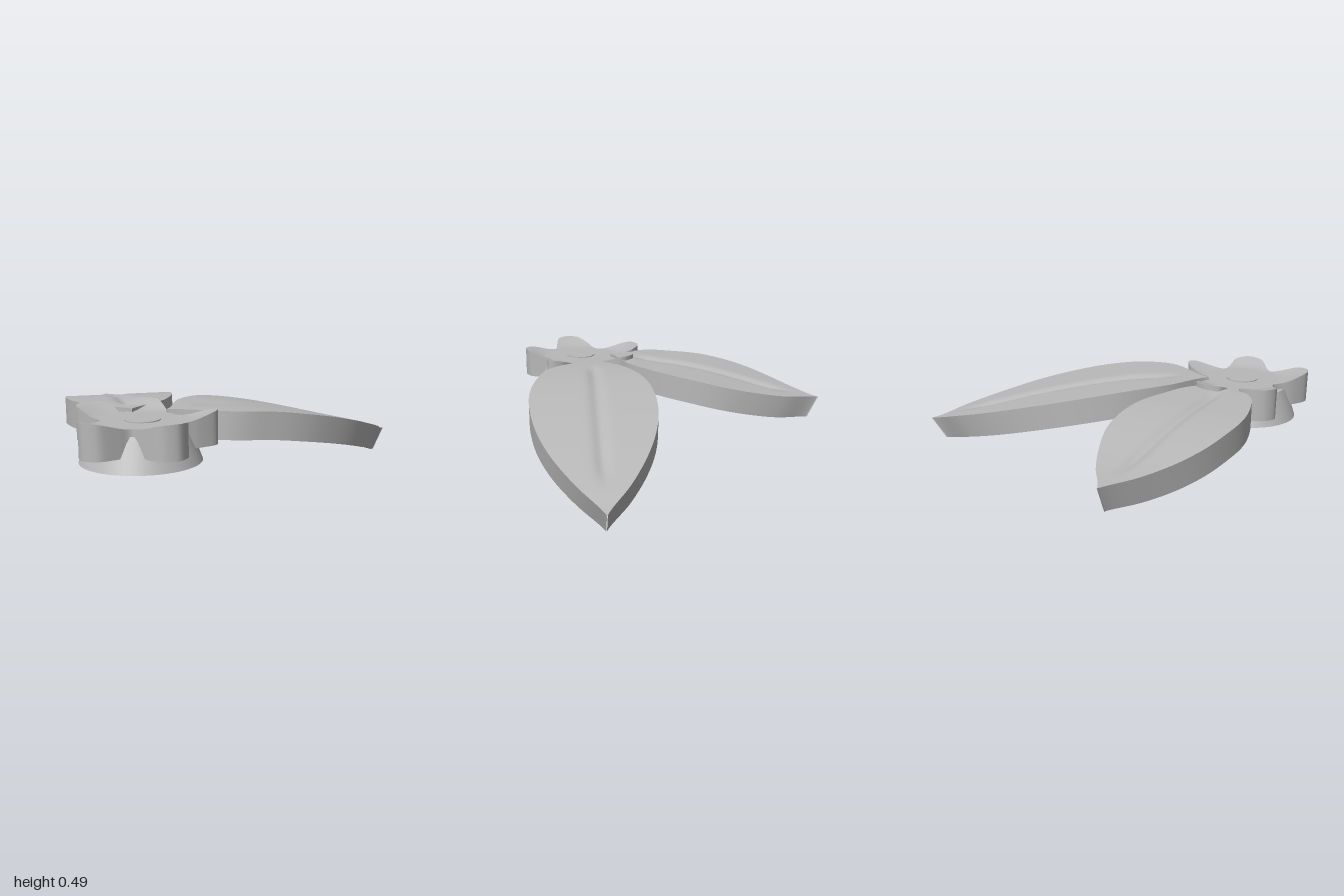
import * as THREE from 'three';

const grey = new THREE.MeshStandardMaterial({ color: 0xb8b8b8 });
grey.name = 'plainGrey';

// Smooth sheet from a rule f(u, v) -> [x, y, z]; flip turns the face over
function sheet(name, f, nu, nv, flip) {
  const pos = [], index = [];
  for (let i = 0; i <= nu; i++)
    for (let j = 0; j <= nv; j++) pos.push(...f(i / nu, j / nv));
  for (let i = 0; i < nu; i++)
    for (let j = 0; j < nv; j++) {
      const a = i * (nv + 1) + j, b = a + nv + 1;
      if (flip) index.push(a, a + 1, b, b, a + 1, b + 1);
      else index.push(a, b, a + 1, b, b + 1, a + 1);
    }
  const g = new THREE.BufferGeometry();
  g.setAttribute('position', new THREE.Float32BufferAttribute(pos, 3));
  g.setIndex(index);
  g.computeVertexNormals();
  const m = new THREE.Mesh(g, grey);
  m.name = name;
  return m;
}

// Spline through evenly spaced values, read at 0..1
function profile(values) {
  const c = new THREE.SplineCurve(values.map((v, i) => new THREE.Vector2(i, v)));
  return (t) => c.getPoint(t).y;
}

// Thick drooping leaf from root to tip (x, z), with a grooved midrib
function leaf(name, root, tip, frontW, backW, heights, thick, tipThick, lean) {
  const group = new THREE.Group();
  group.name = name;
  const dx = tip[0] - root[0], dz = tip[1] - root[1], len = Math.hypot(dx, dz);
  const d = [dx / len, dz / len], n = [-dz / len, dx / len];
  const front = profile(frontW), back = profile(backW), height = profile(heights);
  const point = (u, v, depth) => {
    const t = u * u * (3 - 2 * u); // finer rows near both ends
    const s = 2 * v - 1;
    const w = s * Math.max(0.002, s > 0 ? front(t) : back(t));
    const along = t * len - depth * lean * t * t;
    const groove = THREE.MathUtils.smoothstep(t, 0.08, 0.2) * (1 - THREE.MathUtils.smoothstep(t, 0.75, 0.9));
    const y = height(t) - depth * THREE.MathUtils.lerp(thick, tipThick, t * t)
      - (1 - depth) * 0.02 * groove * Math.exp(-((w / 0.035) ** 2));
    return [root[0] + d[0] * along + n[0] * w, y, root[1] + d[1] * along + n[1] * w];
  };
  group.add(
    sheet('leafTop', (u, v) => point(u, v, 0), 48, 40, true),
    sheet('leafUnderside', (u, v) => point(u, v, 1), 48, 40, false),
    sheet('leafFrontEdge', (u, v) => point(u, 1, v), 48, 2, true),
    sheet('leafBackEdge', (u, v) => point(u, 0, v), 48, 2, false)
  );
  return group;
}

// Five-lobed calyx with upturned tips
function calyx() {
  const group = new THREE.Group();
  group.name = 'calyx';
  const cx = -0.66, cz = 0.61;
  const outline = [
    [-0.71, 0.29], [-0.69, 0.245], [-0.62, 0.225], [-0.55, 0.25], [-0.52, 0.33], [-0.5, 0.46], [-0.47, 0.53],
    [-0.34, 0.57], [-0.29, 0.63], [-0.31, 0.68], [-0.4, 0.72], [-0.475, 0.74], [-0.485, 0.79],
    [-0.48, 0.89], [-0.53, 0.955], [-0.6, 0.96], [-0.65, 0.93], [-0.73, 0.84], [-0.8, 0.86],
    [-0.89, 0.89], [-0.96, 0.86], [-0.98, 0.79], [-0.94, 0.69], [-0.865, 0.585], [-0.92, 0.49],
    [-0.97, 0.39], [-0.94, 0.32], [-0.87, 0.285], [-0.79, 0.3], [-0.76, 0.37], [-0.72, 0.39]
  ];
  const curve = new THREE.CatmullRomCurve3(
    outline.map(([x, z]) => new THREE.Vector3(x, 0, z)), true, 'catmullrom', 0.4);
  const point = (r, v, depth) => {
    const p = curve.getPoint(v), k = Math.max(r, 0.001);
    const x = (p.x - cx) * k, z = (p.z - cz) * k;
    const top = 0.442 + 0.045 * THREE.MathUtils.smoothstep(Math.hypot(x, z), 0.22, 0.4);
    return [cx + x, THREE.MathUtils.lerp(top, 0.31, depth), cz + z];
  };
  group.add(
    sheet('calyxTop', (u, v) => point(u, v, 0), 14, 124, true),
    sheet('calyxUnderside', (u, v) => point(u, v, 1), 2, 124, false),
    sheet('calyxEdge', (u, v) => point(1, v, u), 2, 124, true)
  );
  // Small round stem scar in the middle
  const scar = new THREE.Mesh(new THREE.CylinderGeometry(0.09, 0.09, 0.006, 40), grey);
  scar.name = 'stemScar';
  scar.position.set(cx, 0.444, cz);
  group.add(scar);
  return group;
}

export function createModel() {
  const model = new THREE.Group();
  model.name = 'leafSprig';

  // Tapered round base
  const base = new THREE.Mesh(new THREE.CylinderGeometry(0.24, 0.305, 0.17, 64), grey);
  base.name = 'base';
  base.position.set(-0.67, 0.325, 0.61);
  model.add(base, calyx());

  model.add(leaf('longLeaf', [-0.52, 0.46], [1, -0.31],
    [0, 0.26, 0.352, 0.39, 0.378, 0.335, 0.255, 0.14, 0],
    [0, 0.19, 0.295, 0.336, 0.336, 0.3, 0.23, 0.13, 0],
    [0.46, 0.46, 0.445, 0.41, 0.365, 0.312, 0.252, 0.19, 0.125],
    0.15, 0.125, 0.09));

  model.add(leaf('shortLeaf', [-0.69, 0.41], [-0.72, -0.97],
    [0, 0.17, 0.25, 0.3, 0.31, 0.285, 0.215, 0.12, 0],
    [0, 0.19, 0.265, 0.3, 0.295, 0.265, 0.2, 0.105, 0],
    [0.46, 0.46, 0.45, 0.44, 0.42, 0.39, 0.355, 0.325, 0.31],
    0.15, 0.135, 0.06));

  return model;
}
